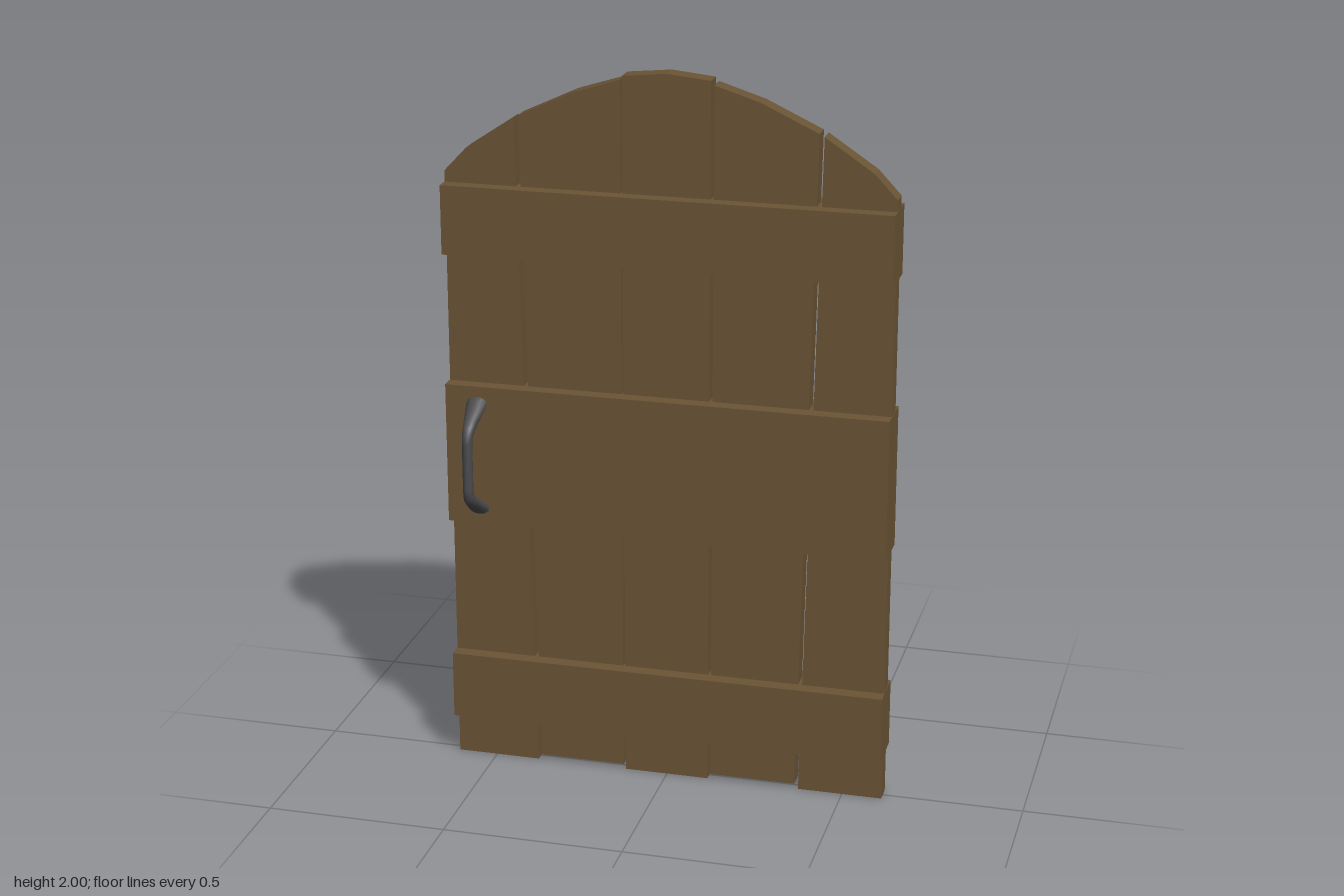
import * as THREE from 'three';

const wood = new THREE.MeshStandardMaterial({ color: 0x6b5435, flatShading: true });
const iron = new THREE.MeshStandardMaterial({ color: 0x4b4b4e });
const MID_Z = -0.003;

// Upright board cut from its front outline
function plank(name, outline) {
  const shape = new THREE.Shape(outline.map(([x, y]) => new THREE.Vector2(x, y)));
  const geo = new THREE.ExtrudeGeometry(shape, { depth: 0.053, bevelEnabled: false });
  geo.translate(0, 0, -0.0265);
  const mesh = new THREE.Mesh(geo, wood);
  mesh.name = name;
  return mesh;
}

// Pull handle: elliptical rings swept along a bent bar, flaring at both ends
function handleGeometry() {
  // y, z, half width, half thickness
  const half = [
    [0.157, 0.055, 0.030, 0.017],
    [0.150, 0.068, 0.029, 0.017],
    [0.112, 0.126, 0.019, 0.016],
    [0.100, 0.142, 0.017, 0.016],
    [0.086, 0.152, 0.015, 0.016],
    [0.066, 0.156, 0.014, 0.016],
  ];
  const rings = [...half, ...half.map(([y, z, w, t]) => [-y, z, w, t]).reverse()];
  const sides = 12, pos = [], index = [];
  rings.forEach(([y, z, w, t], i) => {
    const a = rings[Math.max(i - 1, 0)], b = rings[Math.min(i + 1, rings.length - 1)];
    const len = Math.hypot(b[0] - a[0], b[1] - a[1]);
    const ny = -(b[1] - a[1]) / len, nz = (b[0] - a[0]) / len;
    for (let j = 0; j < sides; j++) {
      const ang = (j / sides) * Math.PI * 2;
      const s = Math.sin(ang) * t;
      pos.push(Math.cos(ang) * w, y + ny * s, z + nz * s);
    }
  });
  for (let i = 0; i < rings.length - 1; i++) {
    for (let j = 0; j < sides; j++) {
      const k = (j + 1) % sides;
      const a = i * sides + j, b = i * sides + k, c = a + sides, d = b + sides;
      index.push(a, c, b, b, c, d);
    }
  }
  const geo = new THREE.BufferGeometry();
  geo.setAttribute('position', new THREE.Float32BufferAttribute(pos, 3));
  geo.setIndex(index);
  // Keep the faces pointing outward
  const p = geo.attributes.position;
  const v = (n) => new THREE.Vector3().fromBufferAttribute(p, n);
  const mid = Math.floor(rings.length / 2) - 1, f = mid * sides * 6;
  const [a, b, c] = [v(index[f]), v(index[f + 1]), v(index[f + 2])];
  const normal = b.clone().sub(a).cross(c.clone().sub(a));
  if (normal.x < 0) geo.setIndex(index.reverse());
  geo.computeVertexNormals();
  return geo;
}

export function createModel() {
  const door = new THREE.Group();
  door.name = 'archedDoor';

  // Planks, the side pairs mirrored about the centre
  const outer = [[0.376, 0], [0.611, 0], [0.611, 1.705], [0.55, 1.77], [0.417, 1.859]];
  const inner = [[0.126, 0.014], [0.365, 0.014], [0.404, 1.866], [0.25, 1.938], [0.126, 1.977]];
  const centre = [[-0.12, 0], [0.117, 0], [0.117, 1.988], [0, 2], [-0.12, 1.988]];
  const mirror = (pts) => pts.map(([x, y]) => [-x, y]).reverse();
  const planks = new THREE.Group();
  planks.name = 'planks';
  planks.add(
    plank('outerPlankLeft', outer), plank('outerPlankRight', mirror(outer)),
    plank('innerPlankLeft', inner), plank('innerPlankRight', mirror(inner)),
    plank('centrePlank', centre),
  );
  door.add(planks);

  // Cross battens gripping the planks front and back
  const battens = [
    ['lowerBatten', 0.126, 0.318], ['middleBatten', 0.72, 1.117], ['upperBatten', 1.483, 1.674],
  ];
  for (const [name, y0, y1] of battens) {
    const mesh = new THREE.Mesh(new THREE.BoxGeometry(1.224, y1 - y0, 0.132), wood);
    mesh.position.y = (y0 + y1) / 2;
    mesh.name = name;
    door.add(mesh);
  }

  // A pull handle on each face
  const geo = handleGeometry();
  for (const [name, turn] of [['frontHandle', 0], ['backHandle', Math.PI]]) {
    const mesh = new THREE.Mesh(geo, iron);
    mesh.position.set(-0.523, 0.918, 0);
    mesh.rotation.y = turn;
    mesh.name = name;
    door.add(mesh);
  }

  door.position.z = MID_Z;
  const model = new THREE.Group();
  model.name = 'door';
  model.add(door);
  return model;
}
